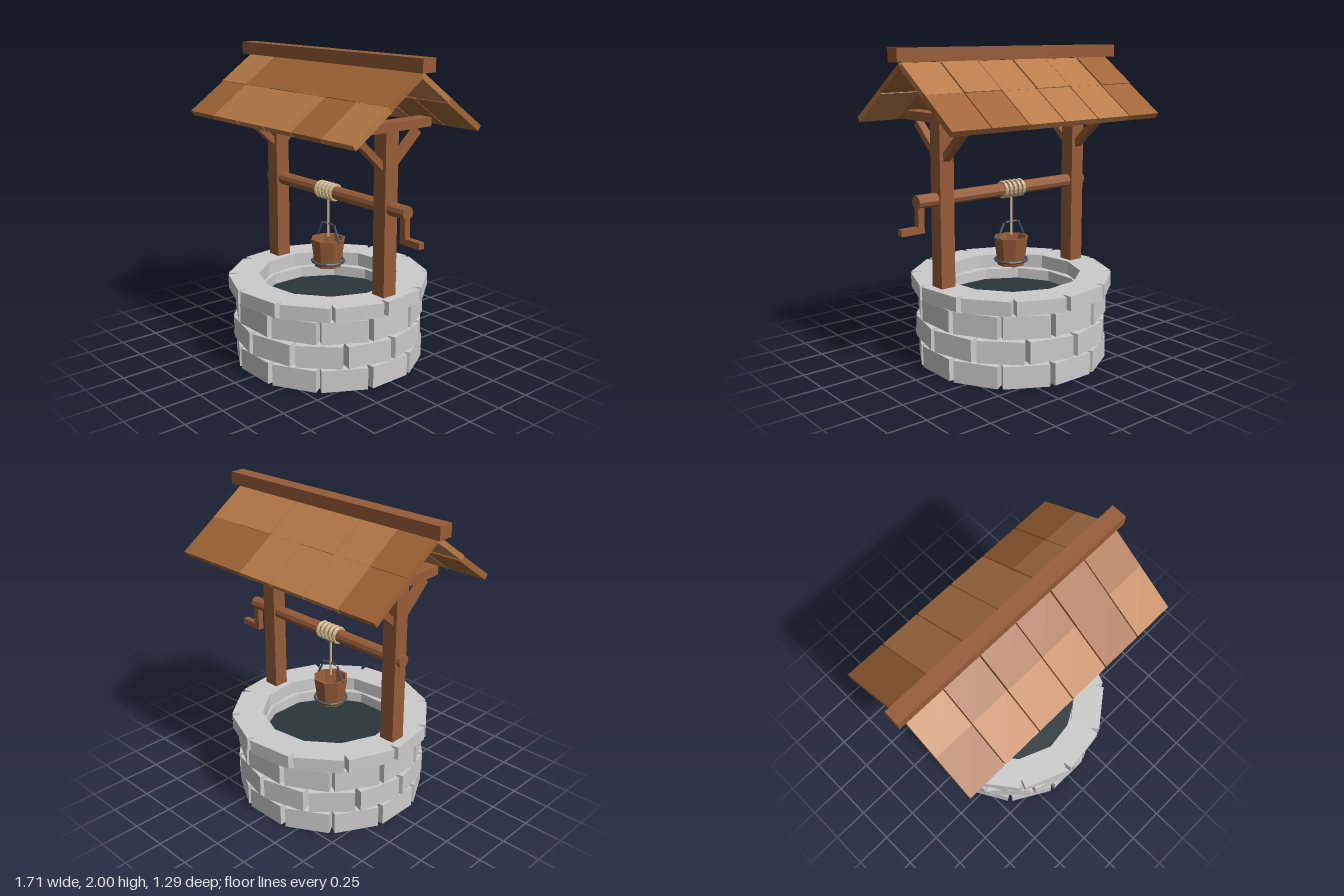
import * as THREE from 'three';

const mat = (color, side = THREE.FrontSide) =>
  new THREE.MeshStandardMaterial({ color, flatShading: true, side });
const stone = mat(0xcccccc);
const wood = mat(0x965c38);
const shingleLight = mat(0xb87a48);
const shingleDark = mat(0xa06436);
const rope = mat(0xcbb68c);
const iron = mat(0x50545c);
const water = mat(0x2a363c, THREE.DoubleSide);

function add(parent, name, geometry, material, x = 0, y = 0, z = 0) {
  const mesh = new THREE.Mesh(geometry, material);
  mesh.name = name;
  mesh.position.set(x, y, z);
  parent.add(mesh);
  return mesh;
}

const box = (w, h, d) => new THREE.BoxGeometry(w, h, d);

// Round or box bar running between two points
function bar(parent, name, a, b, material, geometryOf) {
  const from = new THREE.Vector3(...a), to = new THREE.Vector3(...b);
  const dir = to.clone().sub(from);
  const mesh = add(parent, name, geometryOf(dir.length()), material);
  mesh.position.copy(from).add(to).multiplyScalar(0.5);
  mesh.quaternion.setFromUnitVectors(new THREE.Vector3(0, 1, 0), dir.normalize());
  return mesh;
}

// One wedge stone: tight joints inside, V-shaped joints outside
function stoneGeometry(inner, outer, half, height) {
  const t = Math.tan(Math.PI / 12);
  const shape = new THREE.Shape([
    [-inner * t, inner], [inner * t, inner], [half, half / t],
    [half, outer], [-half, outer], [-half, half / t],
  ].map(([x, y]) => new THREE.Vector2(x, y)));
  return new THREE.ExtrudeGeometry(shape, { depth: height, bevelEnabled: false })
    .rotateX(-Math.PI / 2).rotateY(Math.PI);
}

function createWall() {
  const wall = new THREE.Group();
  wall.name = 'stoneWall';
  // [bottom, height, inner, outer, half width, turn in degrees]
  const courses = [
    [0, 0.14, 0.43, 0.6, 0.143, 0],
    [0.155, 0.14, 0.43, 0.605, 0.143, 15],
    [0.31, 0.14, 0.43, 0.6, 0.143, 0],
    [0.465, 0.09, 0.435, 0.632, 0.152, 7.5],
  ];
  for (const [y, h, inner, outer, half, turn] of courses) {
    const geometry = stoneGeometry(inner, outer, half, h);
    for (let i = 0; i < 12; i++) {
      add(wall, 'stone', geometry, stone, 0, y, 0).rotation.y =
        THREE.MathUtils.degToRad(turn + i * 30);
    }
  }
  add(wall, 'water', new THREE.CircleGeometry(0.45, 24).rotateX(-Math.PI / 2), water, 0, 0.38, 0);
  return wall;
}

function createFrame() {
  const frame = new THREE.Group();
  frame.name = 'frame';
  for (const side of [-1, 1]) {
    const x = side * 0.53;
    add(frame, 'post', box(0.1, 1.12, 0.1), wood, x, 1.01, 0);
    add(frame, 'crossbar', box(0.1, 0.055, 0.64), wood, x, 1.588, 0);
    for (const s of [-1, 1]) {
      bar(frame, 'brace', [x, 1.345, s * 0.03], [x, 1.54, s * 0.245], wood,
        (len) => box(0.05, len, 0.042));
    }
  }
  add(frame, 'ridgeBeam', box(1.71, 0.08, 0.1), wood, 0, 1.96, 0);
  return frame;
}

function createRoof() {
  const roof = new THREE.Group();
  roof.name = 'roof';
  // Shade of each column: L light, D dark, listed from -x to +x
  const slopes = [
    { s: 1, upper: 'LDDDDD', lower: 'DLLLDL' },
    { s: -1, upper: 'DLLLLL', lower: 'DLLLDD' },
  ];
  for (const { s, upper, lower } of slopes) {
    const turn = new THREE.Group();
    turn.name = s > 0 ? 'frontSlope' : 'backSlope';
    turn.rotation.y = s > 0 ? 0 : Math.PI;
    const slope = new THREE.Group();
    slope.position.y = 1.9;
    slope.rotation.x = 0.606;
    turn.add(slope);
    for (let i = 0; i < 6; i++) {
      const x = s * (i - 2.5) * 0.27;
      const lift = i % 2 ? 0.003 : 0.007;
      const shade = (row) => (row[i] === 'L' ? shingleLight : shingleDark);
      add(slope, 'upperShingle', box(0.262, 0.034, 0.29), shade(upper), x, lift, 0.145);
      add(slope, 'lowerShingle', box(0.262, 0.038, 0.33), shade(lower), x, 0, 0.435);
    }
    roof.add(turn);
  }
  return roof;
}

function createWinch() {
  const winch = new THREE.Group();
  winch.name = 'winch';
  const axleY = 1.105;
  add(winch, 'axle', new THREE.CylinderGeometry(0.042, 0.042, 1.325, 10).rotateZ(Math.PI / 2),
    wood, 0.0575, axleY, 0);
  add(winch, 'crankArm', box(0.043, 0.19, 0.04), wood, 0.697, 1.01, 0);
  add(winch, 'crankHandle', box(0.16, 0.04, 0.04), wood, 0.755, 0.935, 0);

  // Rope wound on the axle and hanging down to the bucket
  const coil = new THREE.TorusGeometry(0.047, 0.012, 6, 14).rotateY(Math.PI / 2);
  for (let i = -2; i <= 2; i++) add(winch, 'ropeCoil', coil, rope, i * 0.035, axleY, 0);
  add(winch, 'hangingRope', new THREE.CylinderGeometry(0.008, 0.008, 0.27, 6), rope, 0, 0.935, 0);
  return winch;
}

function createBucket() {
  const bucket = new THREE.Group();
  bucket.name = 'bucket';
  const profile = [[0, 0.605], [0.09, 0.605], [0.115, 0.79], [0.1, 0.79], [0.078, 0.63], [0, 0.63]];
  add(bucket, 'bucketBody', new THREE.LatheGeometry(
    profile.map(([x, y]) => new THREE.Vector2(x, y)), 8).rotateY(Math.PI / 8), wood);
  add(bucket, 'bucketBand', new THREE.TorusGeometry(0.104, 0.009, 6, 16).rotateX(Math.PI / 2),
    iron, 0, 0.638, 0);

  // Bent handle with hooks over the rim
  const rod = (len) => new THREE.CylinderGeometry(0.007, 0.007, len, 6);
  for (const s of [-1, 1]) {
    bar(bucket, 'handleSide', [s * 0.112, 0.78, 0], [s * 0.06, 0.885, 0], iron, rod);
    bar(bucket, 'handleHook', [s * 0.095, 0.785, 0], [s * 0.118, 0.785, 0], iron, rod);
  }
  bar(bucket, 'handleTop', [-0.045, 0.888, 0], [0.045, 0.888, 0], iron, rod);
  return bucket;
}

export function createModel() {
  const well = new THREE.Group();
  well.name = 'well';
  well.add(createWall(), createFrame(), createRoof(), createWinch(), createBucket());
  return well;
}
